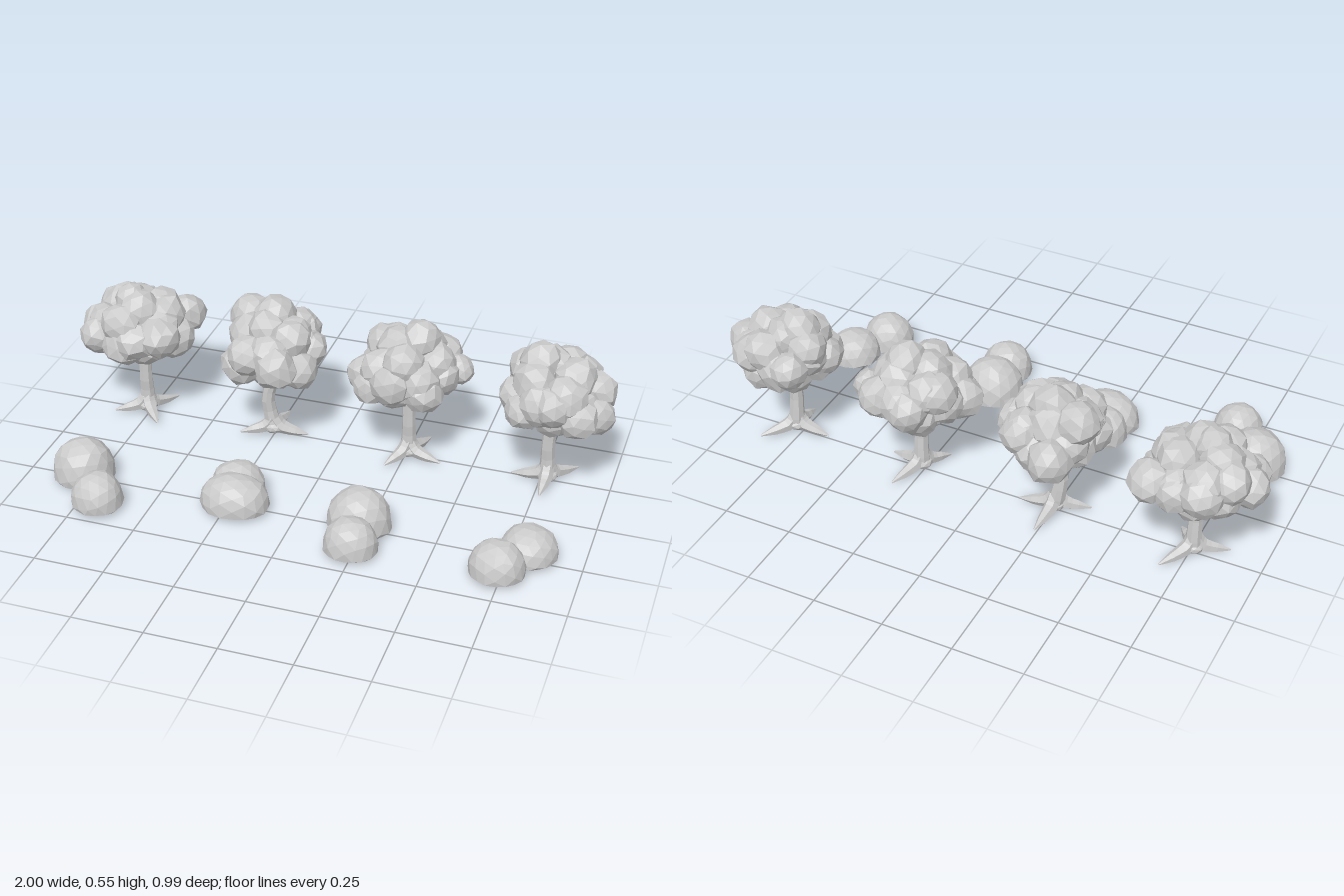
import * as THREE from 'three';

const material = new THREE.MeshStandardMaterial({ color: 0xcccccc, flatShading: true });

// Repeatable value in -1..1 from a position, so shared corners move together
function noise(x, y, z, seed) {
  const s = Math.sin(Math.round(x * 1e3) * 12.99 + Math.round(y * 1e3) * 78.23 + Math.round(z * 1e3) * 37.72 + seed * 5.13) * 4375.85;
  return 2 * (s - Math.floor(s)) - 1;
}

function addMesh(parent, name, geometry) {
  const mesh = new THREE.Mesh(geometry, material);
  mesh.name = name;
  parent.add(mesh);
  return mesh;
}

// Faceted, slightly irregular ball
function blobGeometry(detail, rough, seed) {
  const g = new THREE.IcosahedronGeometry(1, detail);
  g.rotateY(seed * 1.7);
  g.rotateX(seed * 0.9);
  const p = g.attributes.position;
  for (let i = 0; i < p.count; i++) {
    const x = p.getX(i), y = p.getY(i), z = p.getZ(i);
    const k = 1 + rough * noise(x, y, z, seed);
    p.setXYZ(i, x * k, y * k, z * k);
  }
  return g;
}

// Tapered tube along a curve; radii are spread evenly over its length
function limbGeometry(points, radii, segments, sides) {
  const curve = new THREE.CatmullRomCurve3(points.map(p => new THREE.Vector3(...p)));
  const g = new THREE.TubeGeometry(curve, segments, 1, sides, false);
  const p = g.attributes.position, v = new THREE.Vector3();
  for (let i = 0; i < p.count; i++) {
    const t = Math.floor(i / (sides + 1)) / segments;
    const c = curve.getPointAt(t);
    const f = t * (radii.length - 1), k = Math.min(Math.floor(f), radii.length - 2);
    const r = THREE.MathUtils.lerp(radii[k], radii[k + 1], f - k);
    v.fromBufferAttribute(p, i).sub(c).multiplyScalar(r).add(c);
    p.setXYZ(i, v.x, Math.max(v.y, 0.004), v.z);
  }
  g.computeVertexNormals();
  return g;
}

// Tree: bent trunk, three spreading roots, crown of overlapping leaf clumps
function createTree(seed, trunkX, bend, rootAngles, crownX, clumps) {
  const tree = new THREE.Group();
  tree.name = 'tree';
  const z = -0.245;
  addMesh(tree, 'trunk', limbGeometry(
    [[trunkX, 0.025, z], [trunkX - bend * 0.6, 0.08, z - 0.003], [trunkX - bend, 0.15, z + 0.003], [trunkX, 0.25, z], [trunkX + 0.01, 0.34, z]],
    [0.032, 0.026, 0.024, 0.027, 0.032], 8, 8));
  const flare = addMesh(tree, 'rootFlare', blobGeometry(1, 0.03, seed));
  flare.position.set(trunkX, 0.032, z);
  flare.scale.set(0.038, 0.026, 0.038);
  for (const deg of rootAngles) {
    const a = THREE.MathUtils.degToRad(deg), length = 0.13 + 0.015 * Math.sin(a);
    const at = (d, y) => [trunkX + d * Math.cos(a), y, z - d * Math.sin(a)];
    addMesh(tree, 'root', limbGeometry(
      [at(0.004, 0.07), at(0.028, 0.036), at(0.075, 0.022), at(length, 0.012)],
      [0.024, 0.025, 0.017, 0.003], 6, 6));
  }

  const crown = new THREE.Group();
  crown.name = 'crown';
  tree.add(crown);
  const addClump = (x, y, zz, r, s) => {
    const clump = addMesh(crown, 'leafClump', blobGeometry(1, 0.08, s));
    clump.position.set(x, y, zz);
    clump.scale.setScalar(r);
  };
  clumps.forEach(([x, y, zz, r], i) => addClump(x, y, zz, r, seed * 20 + i));
  // Inner clumps close the crown between the outer ones
  const inner = 14;
  for (let i = 0; i < inner; i++) {
    const h = 1 - 2 * (i + 0.5) / inner, w = Math.sqrt(1 - h * h), a = i * 2.4 + seed;
    addClump(crownX + 0.105 * w * Math.cos(a), 0.37 + 0.078 * h, -0.262 + 0.115 * w * Math.sin(a), 0.078, seed * 20 + 10 + i);
  }
  return tree;
}

// Bush: flat-bottomed domes with full sides
function createBush(seed, domes) {
  const bush = new THREE.Group();
  bush.name = 'bush';
  domes.forEach(([x, z, rx, rz, height], i) => {
    const g = blobGeometry(2, 0.025, seed * 2 + i);
    const p = g.attributes.position;
    for (let j = 0; j < p.count; j++) {
      const y = p.getY(j);
      const lift = y > 0 ? (height - 0.024) * Math.pow(y, 0.78) : 0.012 * y;
      p.setXYZ(j, x + rx * p.getX(j), 0.024 + lift, z + rz * p.getZ(j));
    }
    addMesh(bush, 'bushDome', g);
  });
  return bush;
}

export function createModel() {
  const model = new THREE.Group();
  model.name = 'treesAndBushes';

  // Leaf clumps: x, y, z, radius
  model.add(createTree(1, -0.76, 0, [58, 205, 310], -0.78, [
    [-0.93, 0.35, -0.25, 0.073], [-0.89, 0.4, -0.325, 0.072], [-0.82, 0.37, -0.39, 0.075],
    [-0.645, 0.37, -0.385, 0.073], [-0.65, 0.33, -0.27, 0.08], [-0.67, 0.37, -0.175, 0.077],
    [-0.8, 0.33, -0.16, 0.08], [-0.91, 0.34, -0.18, 0.07], [-0.68, 0.42, -0.27, 0.075], [-0.735, 0.36, -0.39, 0.07],
    [-0.8, 0.468, -0.25, 0.063]]));
  model.add(createTree(2, -0.255, 0.02, [5, 85, 203], -0.25, [
    [-0.31, 0.355, -0.42, 0.077], [-0.36, 0.45, -0.31, 0.077], [-0.345, 0.32, -0.18, 0.079],
    [-0.31, 0.38, -0.14, 0.077], [-0.2, 0.36, -0.112, 0.078], [-0.135, 0.33, -0.18, 0.072],
    [-0.128, 0.37, -0.27, 0.072], [-0.185, 0.39, -0.365, 0.075], [-0.26, 0.47, -0.29, 0.077], [-0.18, 0.43, -0.25, 0.07]]));
  model.add(createTree(3, 0.262, 0, [350, 70, 238], 0.25, [
    [0.11, 0.34, -0.22, 0.072], [0.155, 0.41, -0.32, 0.077], [0.23, 0.36, -0.39, 0.077],
    [0.34, 0.38, -0.38, 0.072], [0.42, 0.36, -0.31, 0.055], [0.37, 0.36, -0.25, 0.07],
    [0.33, 0.33, -0.16, 0.072], [0.22, 0.36, -0.145, 0.08], [0.14, 0.32, -0.16, 0.062], [0.285, 0.475, -0.28, 0.075]]));
  model.add(createTree(4, 0.775, 0.005, [50, 180, 268], 0.78, [
    [0.655, 0.35, -0.22, 0.07], [0.67, 0.42, -0.3, 0.072], [0.69, 0.38, -0.39, 0.066],
    [0.85, 0.39, -0.36, 0.072], [0.925, 0.32, -0.22, 0.072], [0.92, 0.38, -0.28, 0.07],
    [0.88, 0.33, -0.16, 0.072], [0.79, 0.37, -0.145, 0.077], [0.69, 0.33, -0.16, 0.068], [0.72, 0.47, -0.27, 0.075]]));

  // Domes: x, z, half width, half depth, top height
  model.add(createBush(1, [[-0.792, 0.255, 0.112, 0.11, 0.162], [-0.675, 0.403, 0.091, 0.091, 0.138]]));
  model.add(createBush(2, [[-0.22, 0.266, 0.125, 0.1, 0.136], [-0.235, 0.182, 0.098, 0.09, 0.136]]));
  model.add(createBush(3, [[0.228, 0.247, 0.113, 0.106, 0.162], [0.24, 0.388, 0.095, 0.088, 0.138]]));
  model.add(createBush(4, [[0.812, 0.23, 0.1, 0.1, 0.12], [0.735, 0.362, 0.097, 0.088, 0.138]]));
  return model;
}
